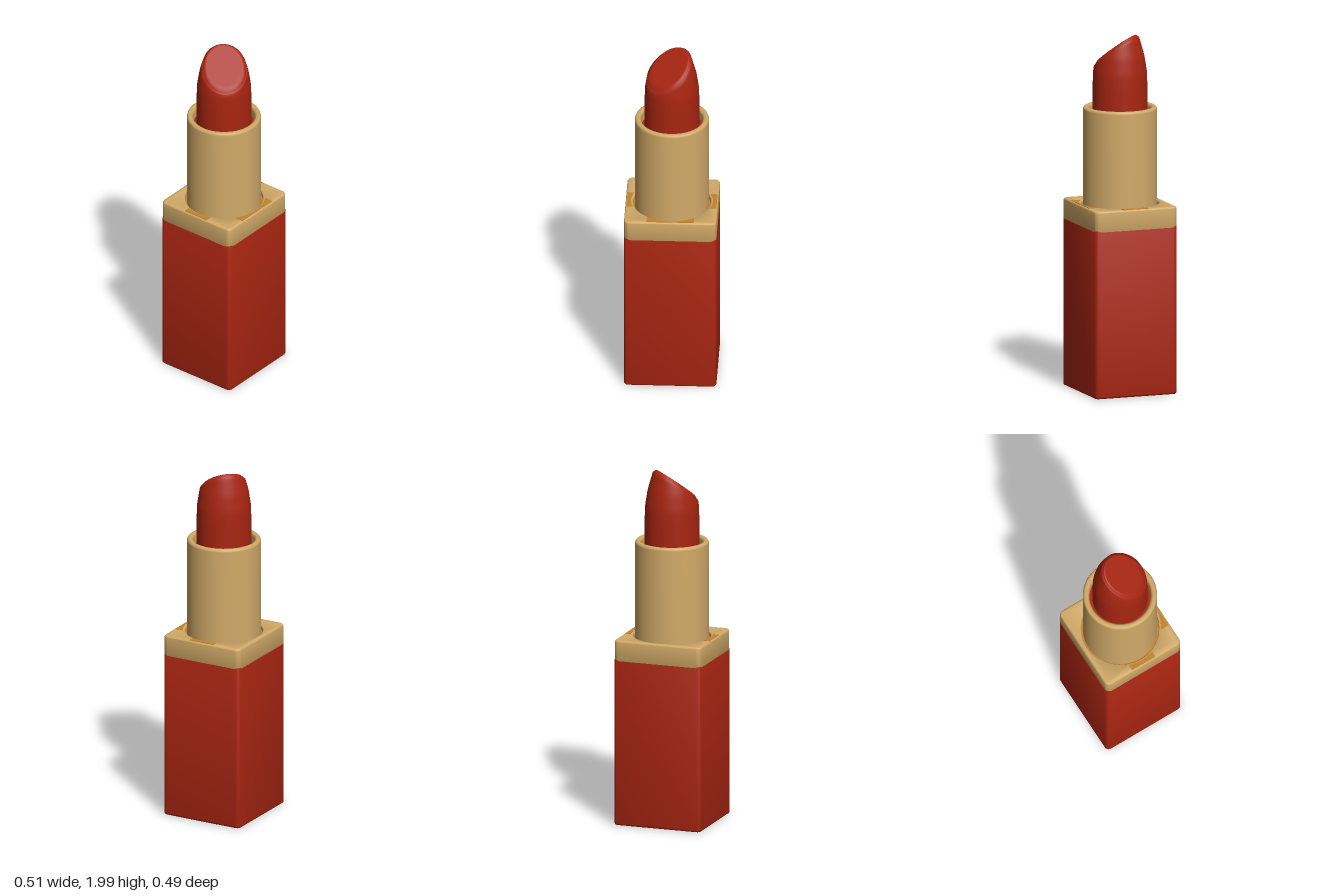
import * as THREE from 'three';
import { mergeVertices, toCreasedNormals } from 'three/addons/utils/BufferGeometryUtils.js';

const mat = (name, color, side = THREE.FrontSide) => {
  const m = new THREE.MeshStandardMaterial({ color, side });
  m.name = name;
  return m;
};

const HX = 0.255, HZ = 0.243; // half width and half depth of the case

function roundedRect(hx, hz, r) {
  const s = new THREE.Shape();
  s.absarc(hx - r, hz - r, r, 0, Math.PI / 2);
  s.absarc(-hx + r, hz - r, r, Math.PI / 2, Math.PI);
  s.absarc(-hx + r, -hz + r, r, Math.PI, Math.PI * 1.5);
  s.absarc(hx - r, -hz + r, r, Math.PI * 1.5, Math.PI * 2);
  s.closePath();
  return s;
}

// Upright bevelled slab between two heights, keeping the outline's full size
function slab(shape, y0, y1, bevel) {
  const g = new THREE.ExtrudeGeometry(shape, {
    depth: y1 - y0 - 2 * bevel, curveSegments: 16,
    bevelEnabled: bevel > 0, bevelThickness: bevel, bevelSize: bevel,
    bevelOffset: -bevel, bevelSegments: 4,
  });
  g.rotateX(-Math.PI / 2).translate(0, y0 + bevel, 0);
  return toCreasedNormals(g, 0.6);
}

// Bullet: a tapering round stick cut by a plane rising towards +x, -z
function bulletGeometry() {
  const taper = [[1.45, 0.152], [1.7, 0.151], [1.78, 0.149], [1.87, 0.135], [1.97, 0.107], [2.03, 0.085]];
  const radius = (y) => {
    for (let i = 1; i < taper.length; i++) {
      const [ya, ra] = taper[i - 1], [yb, rb] = taper[i];
      if (y <= yb) return ra + (rb - ra) * Math.max(0, (y - ya) / (yb - ya));
    }
    return 0.085;
  };
  const cut = (d) => 1.928 + 0.75 * d;
  const sideRows = 24, capRows = 14, segs = 64, rows = sideRows + capRows;
  const profile = [];
  for (let i = 0; i <= rows; i++) profile.push(new THREE.Vector2(1, i));
  const g = new THREE.LatheGeometry(profile, segs);
  const p = g.attributes.position;
  for (let i = 0; i < p.count; i++) {
    const row = Math.round(p.getY(i));
    const cx = p.getX(i), cz = p.getZ(i);
    const along = (cx - cz) / Math.SQRT2;
    let top = 1.9;
    for (let k = 0; k < 20; k++) top = cut(radius(top) * along);
    if (row <= sideRows) {
      const y = 1.45 + (top - 0.018 - 1.45) * row / sideRows;
      p.setXYZ(i, cx * radius(y), y, cz * radius(y));
    } else {
      // cap rows run to the middle of the cut, with a softened rim
      const k = (row - sideRows) / capRows;
      const f = 1 - k ** 1.8;
      const r = radius(top) * f;
      const drop = 0.018 * Math.max(0, (f - 0.85) / 0.15) ** 2;
      p.setXYZ(i, cx * r, cut(r * along) - drop, cz * r);
    }
  }
  g.deleteAttribute('uv');
  g.deleteAttribute('normal');
  const merged = mergeVertices(g, 1e-5);
  merged.computeVertexNormals();
  return merged;
}

// Thin plate on the collar between the round groove and a straight edge
function patchGeometry(half, edge) {
  const a = Math.asin(half / 0.226);
  const s = new THREE.Shape();
  s.moveTo(edge, -half);
  s.lineTo(edge, half);
  s.absarc(0, 0, 0.226, a, -a, true);
  s.closePath();
  return slab(s, 1.048, 1.052, 0);
}

export function createModel() {
  const model = new THREE.Group();
  model.name = 'lipstick';
  const red = mat('red', 0xa82511);
  const gold = mat('pale gold', 0xd2aa68);
  const amber = mat('amber', 0xc4822c);
  const add = (name, geometry, material) => {
    const m = new THREE.Mesh(geometry, material);
    m.name = name;
    model.add(m);
    return m;
  };

  // Square case and its collar
  add('caseBody', slab(roundedRect(HX, HZ, 0.025), 0, 0.947, 0.012), red);
  const collar = roundedRect(HX, HZ, 0.03);
  const hole = new THREE.Path();
  hole.absarc(0, 0, 0.215, 0, Math.PI * 2, true);
  collar.holes.push(hole);
  add('collar', slab(collar, 0.925, 1.05, 0.01), gold);

  // Groove floor around the tube and worn patches on the collar top
  const floor = new THREE.RingGeometry(0.19, 0.22, 64);
  floor.rotateX(-Math.PI / 2).translate(0, 1.025, 0);
  add('grooveFloor', floor, amber);
  for (const [name, half, edge, turn] of [
    ['leftPatch', 0.075, 0.248, 0], ['rightPatch', 0.075, 0.248, Math.PI],
    ['frontPatch', 0.13, 0.235, -Math.PI / 2],
  ]) add(name, patchGeometry(half, edge), amber).rotation.y = turn;

  // Round tube with a rolled rim and an open inside
  const tube = [[0.205, 0.95], [0.205, 1.572], [0.202, 1.582], [0.195, 1.588],
    [0.182, 1.588], [0.174, 1.582], [0.17, 1.572], [0.168, 1.5]]
    .map(([r, y]) => new THREE.Vector2(r, y));
  add('tube', new THREE.LatheGeometry(tube, 64), gold);

  // Red seat inside the tube, and the bullet
  const seat = new THREE.RingGeometry(0.1, 0.17, 64);
  seat.rotateX(-Math.PI / 2).translate(0, 1.53, 0);
  add('bulletSeat', seat, red);
  add('bullet', bulletGeometry(), red);
  return model;
}
